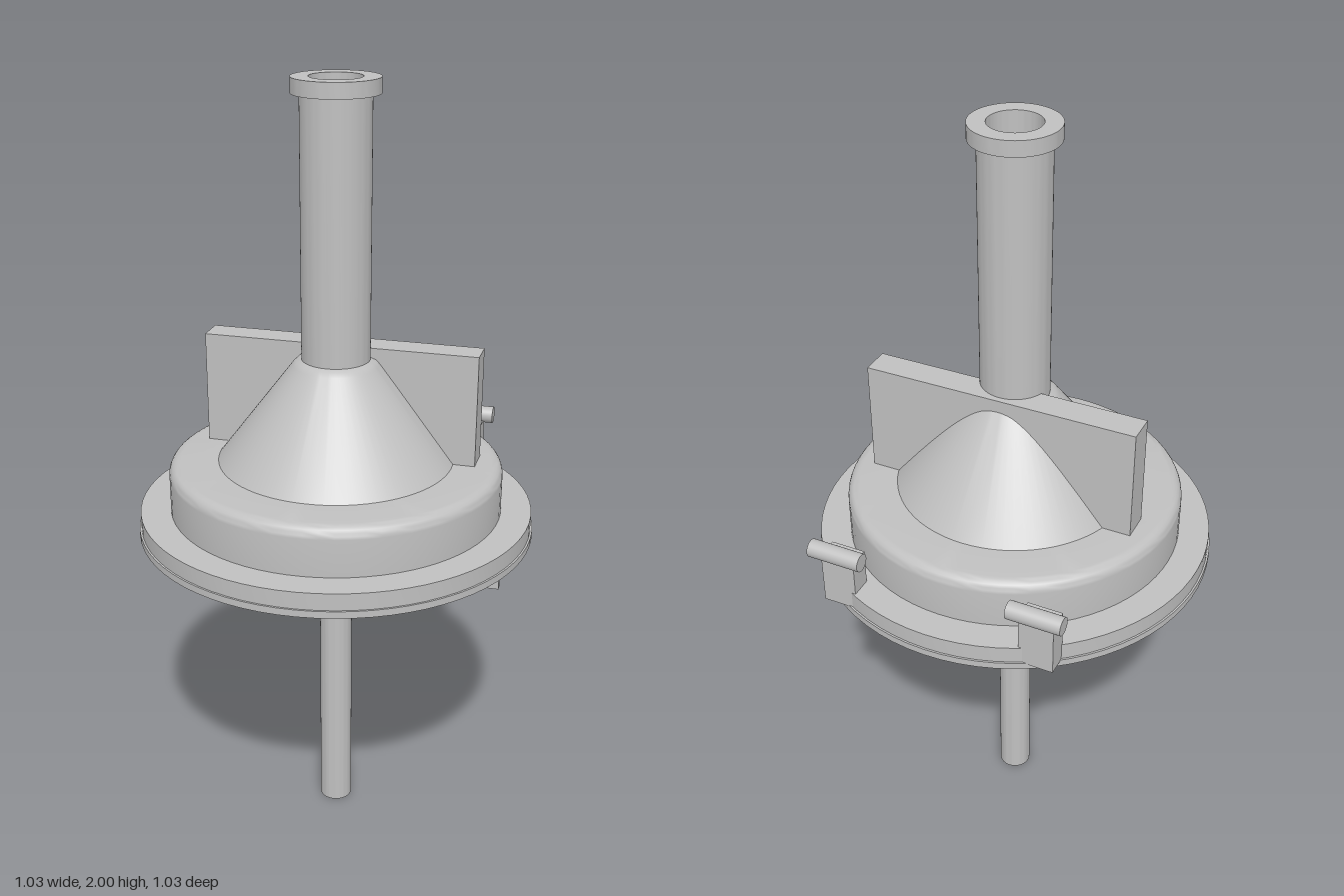
import * as THREE from 'three';
import { toCreasedNormals } from 'three/addons/utils/BufferGeometryUtils.js';

const grey = new THREE.MeshStandardMaterial({ color: 0xc0c0c0 });
grey.name = 'light grey metal';

export function createModel() {
  const model = new THREE.Group();
  model.name = 'pipeHatch';

  const add = (name, geometry, x = 0, y = 0, z = 0, parent = model) => {
    const mesh = new THREE.Mesh(geometry, grey);
    mesh.name = name;
    mesh.position.set(x, y, z);
    parent.add(mesh);
    return mesh;
  };
  // Turned part from [radius, height] pairs, running outward, up and inward
  const turned = (name, profile) => {
    const points = profile.map(([r, y]) => new THREE.Vector2(r, y));
    return add(name, toCreasedNormals(new THREE.LatheGeometry(points, 72), 0.75));
  };
  // Box given by its minimum and maximum corners
  const box = (name, [x0, y0, z0], [x1, y1, z1], parent = model) =>
    add(name, new THREE.BoxGeometry(x1 - x0, y1 - y0, z1 - z0),
      (x0 + x1) / 2, (y0 + y1) / 2, (z0 + z1) / 2, parent);

  // Flange with a slightly wider base plate
  turned('flange', [[0, 0.855], [0.513, 0.855], [0.513, 0.873], [0.508, 0.873], [0.508, 0.917], [0.42, 0.917]]);

  // Drum with a rounded shoulder
  const fillet = [];
  for (let i = 0; i <= 6; i++) {
    const a = (i / 6) * Math.PI / 2;
    fillet.push([0.4 + 0.03 * Math.cos(a), 1.015 + 0.03 * Math.sin(a)]);
  }
  turned('drum', [[0.43, 0.917], ...fillet, [0.29, 1.045]]);

  // Cone and hollow pipe with a collar
  turned('cone', [[0.303, 1.045], [0.11, 1.298], [0.1, 1.308], [0.086, 1.313]]);
  turned('pipe', [[0.087, 1.29], [0.087, 1.962], [0.108, 1.962], [0.108, 2], [0.065, 2], [0.065, 1.05], [0, 1.05]]);

  // Upright plate behind the pipe
  box('uprightPlate', [-0.358, 1.045, -0.103], [0.358, 1.337, -0.027]);

  // Pair of hinges at the back
  for (const side of [-1, 1]) {
    const hinge = new THREE.Group();
    hinge.name = side > 0 ? 'leftHinge' : 'rightHinge';
    hinge.position.x = side * 0.265;
    model.add(hinge);
    box('hingeBracket', [-0.045, 0.87, -0.452], [0.045, 1.012, -0.397], hinge);
    add('hingePin', new THREE.CylinderGeometry(0.023, 0.023, 0.14, 32), 0, 1.025, -0.452, hinge).rotation.z = Math.PI / 2;
  }

  // Rod below the flange, with its collar
  turned('rod', [[0, 0], [0.043, 0], [0.043, 0.856]]);
  turned('rodCollar', [[0.04, 0.825], [0.065, 0.825], [0.065, 0.856]]);

  // Latch lever: short tail and a sloping tapered arm
  box('latchTail', [-0.15, 0.836, -0.02], [-0.04, 0.856, 0.02]);
  const arm = new THREE.Shape([[0.04, 0.84], [0.37, 0.78], [0.37, 0.8], [0.26, 0.822], [0.04, 0.856]]
    .map(([x, y]) => new THREE.Vector2(x, y)));
  add('latchArm', new THREE.ExtrudeGeometry(arm, { depth: 0.05, bevelEnabled: false }), 0, 0, -0.025);

  // Latch mount and forked end
  box('latchMount', [0.25, 0.81, -0.032], [0.375, 0.856, 0.032]);
  box('forkBridge', [0.37, 0.81, -0.047], [0.445, 0.838, 0.047]);
  for (const side of [-1, 1]) {
    add('forkProng', new THREE.BoxGeometry(0.062, 0.07, 0.018), 0.414, 0.778, side * 0.038);
  }

  return model;
}
